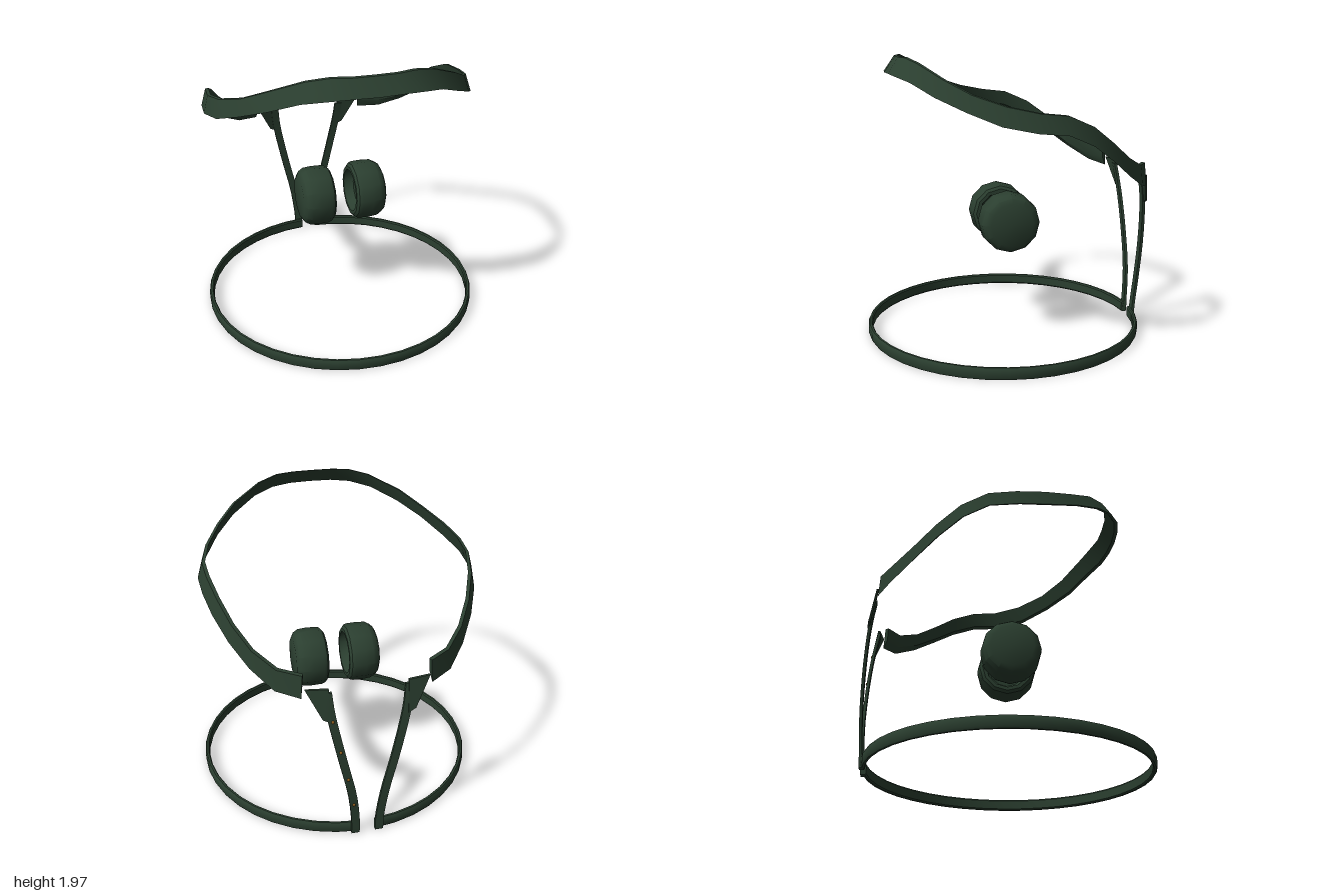
import * as THREE from 'three';
import { toCreasedNormals } from 'three/addons/utils/BufferGeometryUtils.js';

const green = new THREE.MeshStandardMaterial({ color: 0x2b3f30 });
const brass = new THREE.MeshStandardMaterial({ color: 0x8a5a1c });

// Skin a row of equal-sized cross-sections, cap both ends and face it outwards
function loft(sections, crease = 0.6) {
  const n = sections[0].length, last = (sections.length - 1) * n;
  const pos = sections.flat();
  const tris = [];
  for (let i = 0; i < sections.length - 1; i++) {
    for (let j = 0; j < n; j++) {
      const a = i * n + j, b = i * n + (j + 1) % n;
      tris.push([a, b, b + n], [a, b + n, a + n]);
    }
  }
  for (let j = 1; j < n - 1; j++) {
    tris.push([0, j + 1, j], [last, last + j, last + j + 1]);
  }
  const v = pos.map((p) => new THREE.Vector3(...p));
  let volume = 0;
  for (const [a, b, c] of tris) volume += v[a].dot(v[b].clone().cross(v[c]));
  if (volume < 0) tris.forEach((t) => t.reverse());
  const geo = new THREE.BufferGeometry();
  geo.setAttribute('position', new THREE.Float32BufferAttribute(pos.flat(), 3));
  geo.setIndex(tris.flat());
  return toCreasedNormals(geo, crease);
}

function add(group, name, geo, material = green) {
  const mesh = new THREE.Mesh(geo, material);
  mesh.name = name;
  group.add(mesh);
  return mesh;
}

// Lower hoop, open at the back
function lowerHoop() {
  const profile = [[0.955, 0.01], [0.963, 0], [0.977, 0], [0.985, 0.015],
    [0.985, 0.065], [0.977, 0.08], [0.963, 0.08], [0.955, 0.07]];
  const gap = 0.058, steps = 40, sections = [];
  for (let i = 0; i <= steps; i++) {
    const a = gap + (i / steps) * (2 * Math.PI - 2 * gap);
    sections.push(profile.map(([r, y]) => [r * Math.sin(a), y, 0.012 - r * 0.995 * Math.cos(a)]));
  }
  return loft(sections);
}

// Upper band: top inner edge, bottom outer edge, and lift of the bottom inner edge
const bandHalf = [
  [0, 1.97, 0.735, 0, 1.86, 0.83, 0.005],
  [0.14, 1.97, 0.73, 0.16, 1.86, 0.82, 0.005],
  [0.26, 1.97, 0.70, 0.30, 1.85, 0.79, 0.005],
  [0.40, 1.94, 0.64, 0.45, 1.82, 0.71, 0.005],
  [0.60, 1.85, 0.51, 0.63, 1.74, 0.58, 0.006],
  [0.73, 1.765, 0.36, 0.77, 1.66, 0.41, 0.008],
  [0.83, 1.70, 0.17, 0.88, 1.58, 0.21, 0.01],
  [0.875, 1.66, -0.02, 0.93, 1.54, 0, 0.012],
  [0.865, 1.64, -0.2, 0.92, 1.52, -0.2, 0.015],
  [0.825, 1.565, -0.37, 0.88, 1.445, -0.37, 0.02],
  [0.76, 1.45, -0.52, 0.805, 1.33, -0.53, 0.025],
  [0.665, 1.335, -0.66, 0.70, 1.21, -0.68, 0.035],
  [0.54, 1.26, -0.79, 0.57, 1.115, -0.82, 0.05],
  [0.40, 1.25, -0.875, 0.42, 1.09, -0.905, 0.065],
];

function upperBand() {
  const section = (s) => ([tx, ty, tz, bx, by, bz, lift]) => [
    [s * tx, ty, tz],
    [s * tx * 1.025, ty - 0.004, tz * 1.025],
    [s * bx, by, bz],
    [s * bx * 0.97, by + lift, bz * 0.97],
  ];
  const left = bandHalf.map(section(1));
  const right = bandHalf.slice(1).reverse().map(section(-1));
  return loft([...right, ...left], 0.5);
}

// Curved upright strip rising from one end of the hoop
const uprightPath = new THREE.CatmullRomCurve3([
  [0.082, 0, -0.96], [0.084, 0.12, -0.969], [0.112, 0.35, -0.982], [0.168, 0.6, -0.98],
  [0.222, 0.85, -0.966], [0.25, 1, -0.949], [0.263, 1.125, -0.928],
].map((p) => new THREE.Vector3(...p)));

function upright(s) {
  const sections = uprightPath.getPoints(16).map(({ x, y, z }, i) => {
    const w = 0.028, d = i < 2 ? 0.014 : 0.01;
    return [[-w, -d], [w, -d], [w, d], [-w, d]].map(([dx, dz]) => [s * (x + dx), y, z + dz]);
  });
  return loft(sections);
}

// Pointed plate fanning outwards at the top of an upright
function flare(s) {
  const outline = [[0.255, 1.155, -0.924], [0.4, 1.155, -0.902], [0.3, 0.955, -0.952], [0.25, 0.93, -0.958]];
  return loft([0, -0.016].map((dz) => outline.map(([x, y, z]) => [s * x, y, z + dz])));
}

// Twelve-sided ear cup, hollow on the inner face
function earCup(s) {
  const profile = [[0, 0.14], [0.125, 0.14], [0.145, 0.11], [0.155, 0.075], [0.18, 0.075], [0.2, 0.09],
    [0.208, 0.115], [0.21, 0.19], [0.205, 0.25], [0.185, 0.285], [0.15, 0.303], [0, 0.305]]
    .map(([r, y]) => new THREE.Vector2(r, y));
  const geo = toCreasedNormals(new THREE.LatheGeometry(profile, 12), 0.6);
  geo.rotateZ(-s * Math.PI / 2).translate(0, 0.825, 0.01);
  return geo;
}

export function createModel() {
  const model = new THREE.Group();
  model.name = 'headsetStand';
  add(model, 'lowerHoop', lowerHoop());
  add(model, 'upperBand', upperBand());
  for (const [side, s] of [['left', 1], ['right', -1]]) {
    add(model, side + 'Upright', upright(s));
    add(model, side + 'Flare', flare(s));
    add(model, side + 'EarCup', earCup(s));
  }
  // Small rivets on the back of the left upright
  const rivets = [[0.1, 0.26, -0.988], [0.14, 0.48, -0.992], [0.19, 0.7, -0.985], [0.237, 0.93, -0.967]];
  rivets.forEach((p, i) => {
    add(model, 'rivet' + (i + 1), new THREE.SphereGeometry(0.011, 8, 6), brass).position.set(...p);
  });
  return model;
}
